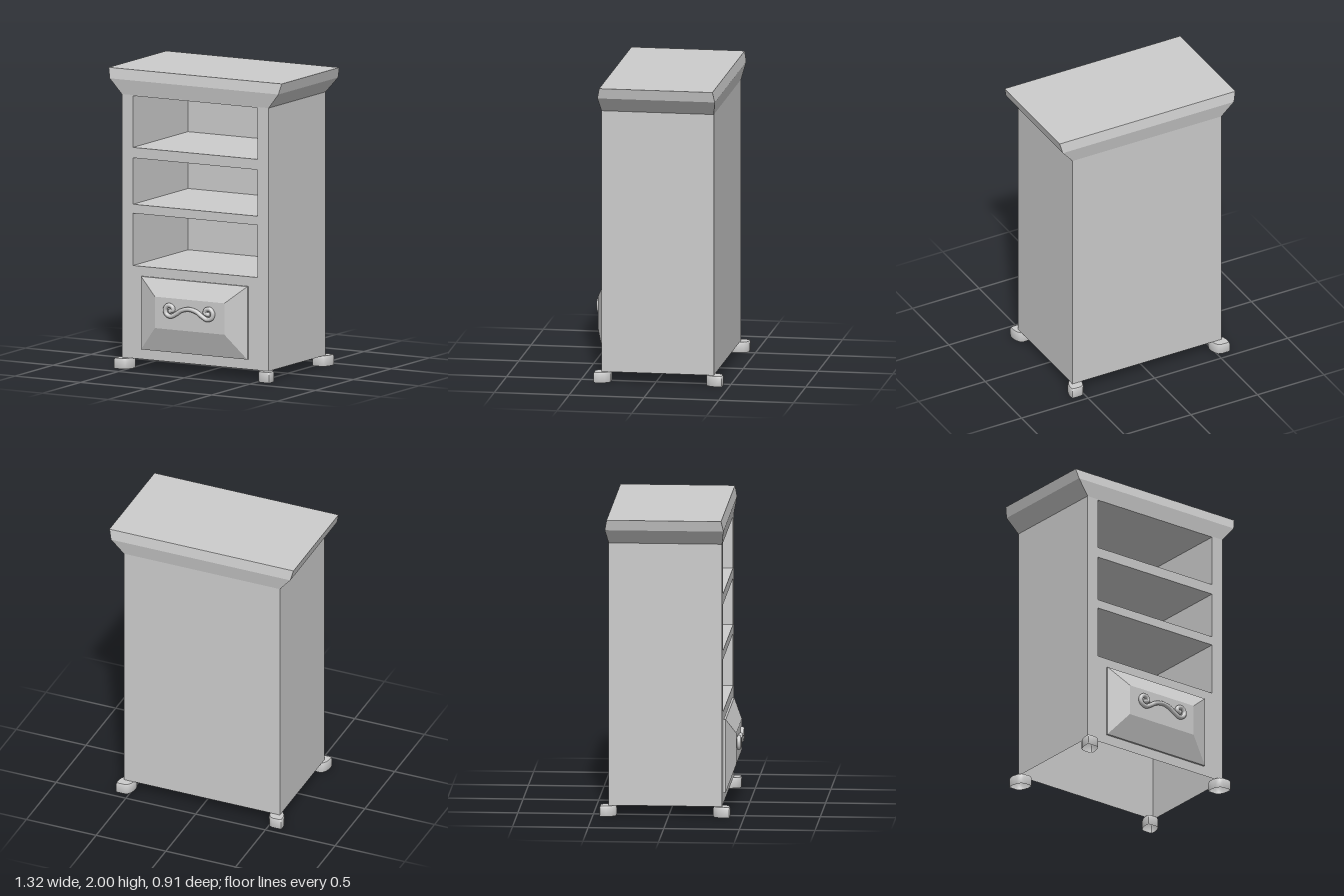
import * as THREE from 'three';
import { toCreasedNormals } from 'three/addons/utils/BufferGeometryUtils.js';

const material = new THREE.MeshStandardMaterial({ color: 0xcccccc, side: THREE.DoubleSide });

function part(name, geometry) {
  const mesh = new THREE.Mesh(geometry, material);
  mesh.name = name;
  return mesh;
}

// Skins rings of [x, y, z] points; optionally closes around and caps the last ring
function loft(rings, { closed = true, cap = true, crease = 0.1 } = {}) {
  const positions = [];
  const n = rings[0].length;
  const tri = (...points) => points.forEach((p) => positions.push(...p));
  for (let r = 0; r < rings.length - 1; r++) {
    const a = rings[r], b = rings[r + 1];
    for (let i = 0; i < (closed ? n : n - 1); i++) {
      const j = (i + 1) % n;
      tri(a[i], a[j], b[j]);
      tri(a[i], b[j], b[i]);
    }
  }
  const end = rings[rings.length - 1];
  if (cap) for (let i = 1; i < n - 1; i++) tri(end[0], end[i], end[i + 1]);
  const geometry = new THREE.BufferGeometry();
  geometry.setAttribute('position', new THREE.Float32BufferAttribute(positions, 3));
  return toCreasedNormals(geometry, crease);
}

// Rectangles lying flat (at height y) and standing upright (at depth z)
const flatRect = (x, z0, z1, y) => [[x, y, z1], [x, y, z0], [-x, y, z0], [-x, y, z1]];
const uprightRect = (x, y0, y1, z) => [[-x, y0, z], [x, y0, z], [x, y1, z], [-x, y1, z]];

const W = 0.56, BACK = -0.395, FRONT = 0.355, BASE = 0.07, TOP = 1.83;
const OPEN_X = 0.475;
const OPENINGS = [[0.69, 1.04], [1.1, 1.41], [1.48, 1.825]];

function createCabinet() {
  const cabinet = new THREE.Group();
  cabinet.name = 'cabinet';

  // Side and back walls, open underneath
  cabinet.add(part('walls', loft(
    [flatRect(W, BACK, FRONT, BASE), flatRect(W, BACK, FRONT, TOP)],
    { closed: false, cap: false },
  )));

  // Front panel with shelf openings
  const path = (x, y0, y1, Type) =>
    new Type(uprightRect(x, y0, y1, 0).map(([px, py]) => new THREE.Vector2(px, py)));
  const face = path(W, BASE, TOP, THREE.Shape);
  for (const [y0, y1] of OPENINGS) face.holes.push(path(OPEN_X, y0, y1, THREE.Path));
  cabinet.add(part('frontPanel', new THREE.ShapeGeometry(face).translate(0, 0, FRONT)));

  // Shelf compartments
  for (const [y0, y1] of OPENINGS) {
    cabinet.add(part('shelfCompartment', loft([
      uprightRect(OPEN_X, y0, y1, FRONT),
      uprightRect(OPEN_X, y0, y1, -0.37),
    ])));
  }

  // Flared cornice
  cabinet.add(part('cornice', loft([
    flatRect(W, BACK, FRONT, TOP),
    flatRect(0.643, -0.415, 0.37, 1.93),
    flatRect(0.66, -0.402, 0.355, 2),
  ])));
  return cabinet;
}

function createDrawer() {
  const drawer = new THREE.Group();
  drawer.name = 'drawer';

  // Raised, bevelled drawer front
  drawer.add(part('drawerFront', loft([
    uprightRect(0.405, 0.137, 0.625, FRONT),
    uprightRect(0.405, 0.137, 0.625, 0.368),
    uprightRect(0.265, 0.3, 0.51, 0.428),
  ])));

  // Scrolled handle
  const half = [
    [0.06, 0.434], [0.1, 0.408], [0.14, 0.39], [0.173, 0.404], [0.181, 0.436],
    [0.16, 0.462], [0.128, 0.455], [0.122, 0.432], [0.143, 0.425],
  ];
  const points = [
    ...half.map(([x, y]) => [-x, y]).reverse(), [0, 0.448], ...half,
  ].map(([x, y]) => new THREE.Vector3(x, y, 0.437));
  const curve = new THREE.CatmullRomCurve3(points);
  drawer.add(part('handle', new THREE.TubeGeometry(curve, 120, 0.015, 10)));
  for (const end of [points[0], points[points.length - 1]]) {
    const tip = part('handleTip', new THREE.SphereGeometry(0.016, 12, 8));
    tip.position.copy(end);
    drawer.add(tip);
  }
  return drawer;
}

// Leaf-shaped foot pointing diagonally out of a corner
function createFoot(sx, sz) {
  const outline = [
    [1, 0.88], [0.97, 0.97], [0.88, 1], [0.4, 1], [0.22, 0.92], [0.08, 0.7], [0, 0.4],
    [0, 0.12], [0.03, 0.03], [0.12, 0], [0.6, 0], [0.78, 0.08], [0.92, 0.3], [1, 0.6],
  ];
  if (sx * sz > 0) outline.reverse();
  const size = 0.112;
  const z0 = sz > 0 ? 0.295 : 0.343;
  const ring = (y, scale) => outline.map(([u, v]) => [
    sx * (0.483 + size * (0.5 + (u - 0.5) * scale)),
    y,
    sz * (z0 + size * (0.5 + (v - 0.5) * scale)),
  ]);
  return part('foot', loft([ring(0, 0.97), ring(0.008, 1), ring(0.056, 1), ring(BASE, 0.9)], { crease: 0.9 }));
}

export function createModel() {
  const model = new THREE.Group();
  model.name = 'shelfCabinet';
  model.add(createCabinet(), createDrawer());
  for (const sx of [-1, 1]) for (const sz of [-1, 1]) model.add(createFoot(sx, sz));
  return model;
}
